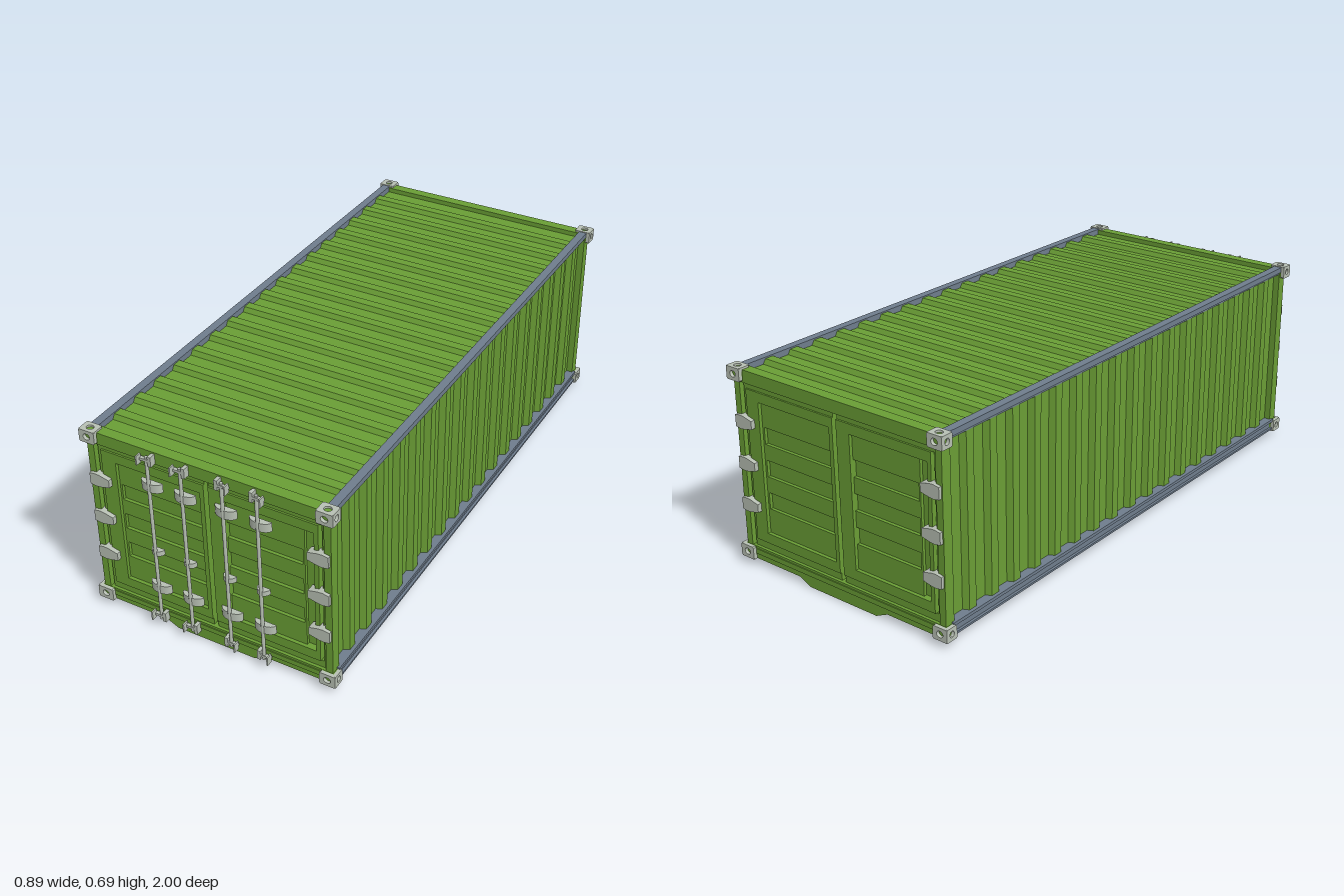
import * as THREE from 'three';

const mat = (name, color) => {
  const m = new THREE.MeshStandardMaterial({ color });
  m.name = name;
  return m;
};

export function createModel() {
  const green = mat('container green', 0x6a9e35);
  const slate = mat('rail slate', 0x6f7d8d);
  const steel = mat('light steel', 0xb8c0b4);

  const root = new THREE.Group();
  root.name = 'shippingContainer';
  const body = new THREE.Group();
  body.name = 'body';
  body.position.z = -0.01;
  root.add(body);

  const add = (parent, name, geo, material, x = 0, y = 0, z = 0) => {
    const m = new THREE.Mesh(geo, material);
    m.name = name;
    m.position.set(x, y, z);
    parent.add(m);
    return m;
  };
  const box = (w, h, d) => new THREE.BoxGeometry(w, h, d);
  const poly = (pts) => new THREE.Shape(pts.map(([x, y]) => new THREE.Vector2(x, y)));
  const rect = (x0, y0, x1, y1) => poly([[x0, y0], [x1, y0], [x1, y1], [x0, y1]]);
  const extrude = (shape, depth, curveSegments = 4) =>
    new THREE.ExtrudeGeometry(shape, { depth, bevelEnabled: false, curveSegments });

  // Corrugated sheet: X runs along the container, Y points outwards, extruded across
  const PITCH = 0.106;
  const corrugated = (depth, width) => {
    const pts = [[-0.95, -0.012], [0.95, -0.012], [0.95, 0]];
    for (let i = 8; i >= -8; i--) {
      const c = i * PITCH;
      pts.push([c + 0.026, 0], [c + 0.016, depth], [c - 0.016, depth], [c - 0.026, 0]);
    }
    pts.push([-0.95, 0]);
    return extrude(poly(pts), width);
  };
  const V = (x, y, z) => new THREE.Vector3(x, y, z);
  const sheet = (name, depth, width, outward, across, start) => {
    const geo = corrugated(depth, width);
    geo.applyMatrix4(new THREE.Matrix4().makeBasis(V(0, 0, 1), outward, across));
    add(body, name, geo, green, start.x, start.y, start.z);
  };
  sheet('roof', 0.016, 0.81, V(0, 1, 0), V(-1, 0, 0), V(0.405, 0.666, 0));
  sheet('floor', 0.02, 0.81, V(0, -1, 0), V(1, 0, 0), V(-0.405, 0.056, 0));
  sheet('leftWall', 0.02, 0.6, V(1, 0, 0), V(0, 1, 0), V(0.405, 0.065, 0));
  const right = new THREE.Matrix4().makeBasis(V(0, 0, -1), V(-1, 0, 0), V(0, 1, 0));
  add(body, 'rightWall', corrugated(0.02, 0.6).applyMatrix4(right), green, -0.405, 0.065, 0);

  // Long side rails: stepped top rail and channel-shaped bottom rail
  const topRail = poly([[0.402, 0.66], [0.426, 0.66], [0.426, 0.668], [0.431, 0.668],
    [0.431, 0.687], [0.402, 0.687]]);
  const bottomRail = poly([[0.4, 0.03], [0.437, 0.03], [0.437, 0.037], [0.428, 0.037],
    [0.428, 0.061], [0.437, 0.061], [0.437, 0.072], [0.4, 0.072]]);
  for (const [name, shape] of [['topRail', topRail], ['bottomRail', bottomRail]]) {
    for (const turn of [0, Math.PI]) {
      const geo = extrude(shape, 1.9);
      geo.translate(0, 0, -0.95);
      add(body, name, geo, slate).rotation.y = turn;
    }
  }

  // Thin plate with an oval hole, centred, facing +z
  const castingPlate = (w, h) => {
    const a = w / 2, b = h / 2, c = 0.004;
    const s = poly([[-a + c, -b], [a - c, -b], [a, -b + c], [a, b - c],
      [a - c, b], [-a + c, b], [-a, b - c], [-a, -b + c]]);
    const hole = new THREE.Path();
    hole.absellipse(0, 0, w * 0.22, h * 0.25, 0, Math.PI * 2, true);
    s.holes.push(hole);
    return extrude(s, 0.012, 8).translate(0, 0, -0.012);
  };
  const buildCasting = (parent, side, top) => {
    const g = new THREE.Group();
    g.name = 'cornerCasting';
    g.position.set(side * 0.415, top ? 0.6675 : 0.0445, 0.967);
    const v = top ? 1 : -1;
    add(g, 'castingFace', castingPlate(0.057, 0.045), steel, 0, 0, 0.023);
    add(g, 'castingSide', castingPlate(0.046, 0.045), steel, side * 0.0285).rotation.y = side * Math.PI / 2;
    add(g, 'castingCap', castingPlate(0.057, 0.046), steel, 0, v * 0.0225).rotation.x = -v * Math.PI / 2;
    add(g, 'castingCore', box(0.045, 0.035, 0.034), green, -side * 0.005, -v * 0.004, -0.005);
    parent.add(g);
  };

  // One end: frame with dropped sill, two panelled doors, hinges and castings
  const buildEnd = (name, turn) => {
    const end = new THREE.Group();
    end.name = name;
    end.rotation.y = turn;
    body.add(end);

    const frame = poly([[-0.428, 0.022], [-0.19, 0.022], [-0.143, 0], [0.143, 0], [0.19, 0.022],
      [0.428, 0.022], [0.428, 0.683], [-0.428, 0.683]]);
    frame.holes.push(rect(-0.404, 0.067, 0.404, 0.64));
    add(end, 'endFrame', extrude(frame, 0.037), green, 0, 0, 0.938);
    add(end, 'sillStep', box(0.86, 0.018, 0.004), green, 0, 0.05, 0.976);
    add(end, 'doorBacking', box(0.82, 0.59, 0.008), green, 0, 0.355, 0.944);

    for (const side of [-1, 1]) {
      const surround = rect(-0.396, 0.067, -0.008, 0.64);
      surround.holes.push(rect(-0.383, 0.094, -0.012, 0.62));
      const leaf = rect(-0.383, 0.094, -0.008, 0.62);
      leaf.holes.push(rect(-0.33, 0.129, -0.023, 0.586));
      const panel = rect(-0.33, 0.129, -0.023, 0.586);
      for (const y of [0.244, 0.358, 0.471]) {
        panel.holes.push(rect(-0.323, y - 0.029, -0.03, y + 0.029));
      }
      const shift = side < 0 ? 0 : 0.391;
      add(end, 'doorSeal', extrude(surround, 0.017), green, side < 0 ? 0 : 0.404, 0, 0.948);
      add(end, 'doorLeaf', extrude(leaf, 0.023), green, shift, 0, 0.948);
      add(end, 'doorPanel', extrude(panel, 0.012), green, side < 0 ? 0 : 0.353, 0, 0.947);

      // Tapered hinge straps
      for (const y of [0.217, 0.362, 0.507]) {
        const pts = [[0.424, -0.02], [0.424, 0.02], [0.402, 0.0235], [0.386, 0.022],
          [0.352, 0.014], [0.352, -0.014], [0.386, -0.022], [0.402, -0.0235]];
        const strap = poly(pts.map(([x, py]) => [side * x, py]));
        add(end, 'hinge', extrude(strap, 0.03), steel, 0, y, 0.956);
      }
      buildCasting(end, side, true);
      buildCasting(end, side, false);
    }
    return end;
  };
  const front = buildEnd('frontEnd', 0);
  buildEnd('backEnd', Math.PI);

  // Locking rods with guide brackets and cam fittings
  const curvedBracket = (w, h, d) => {
    const g = new THREE.CylinderGeometry(1, 1, h, 16, 1, false, -Math.PI / 2, Math.PI);
    return g.scale(w / 2, 1, d);
  };
  for (const x of [-0.195, -0.075, 0.07, 0.19]) {
    const rod = new THREE.Group();
    rod.name = 'lockingRod';
    rod.position.set(x, 0, 0);
    const s = x < 0 ? 1 : -1;
    add(rod, 'rodBar', new THREE.CylinderGeometry(0.006, 0.006, 0.64, 12), steel, 0, 0.35, 0.989);
    for (const y of [0.155, 0.555]) {
      add(rod, 'guideBracket', curvedBracket(0.076, 0.031, 0.022), steel, 0, y, 0.97);
    }
    add(rod, 'middleBracket', curvedBracket(0.045, 0.018, 0.022), steel, 0, 0.3, 0.97);
    for (const y of [0.045, 0.66]) {
      add(rod, 'camPlate', box(0.012, 0.035, 0.024), steel, s * 0.015, y, 0.985);
      add(rod, 'camPin', box(0.034, 0.009, 0.012), steel, -s * 0.008, y, 0.99);
      add(rod, 'camHead', box(0.005, 0.032, 0.022), steel, -s * 0.023, y, 0.999);
    }
    front.add(rod);
  }
  return root;
}
